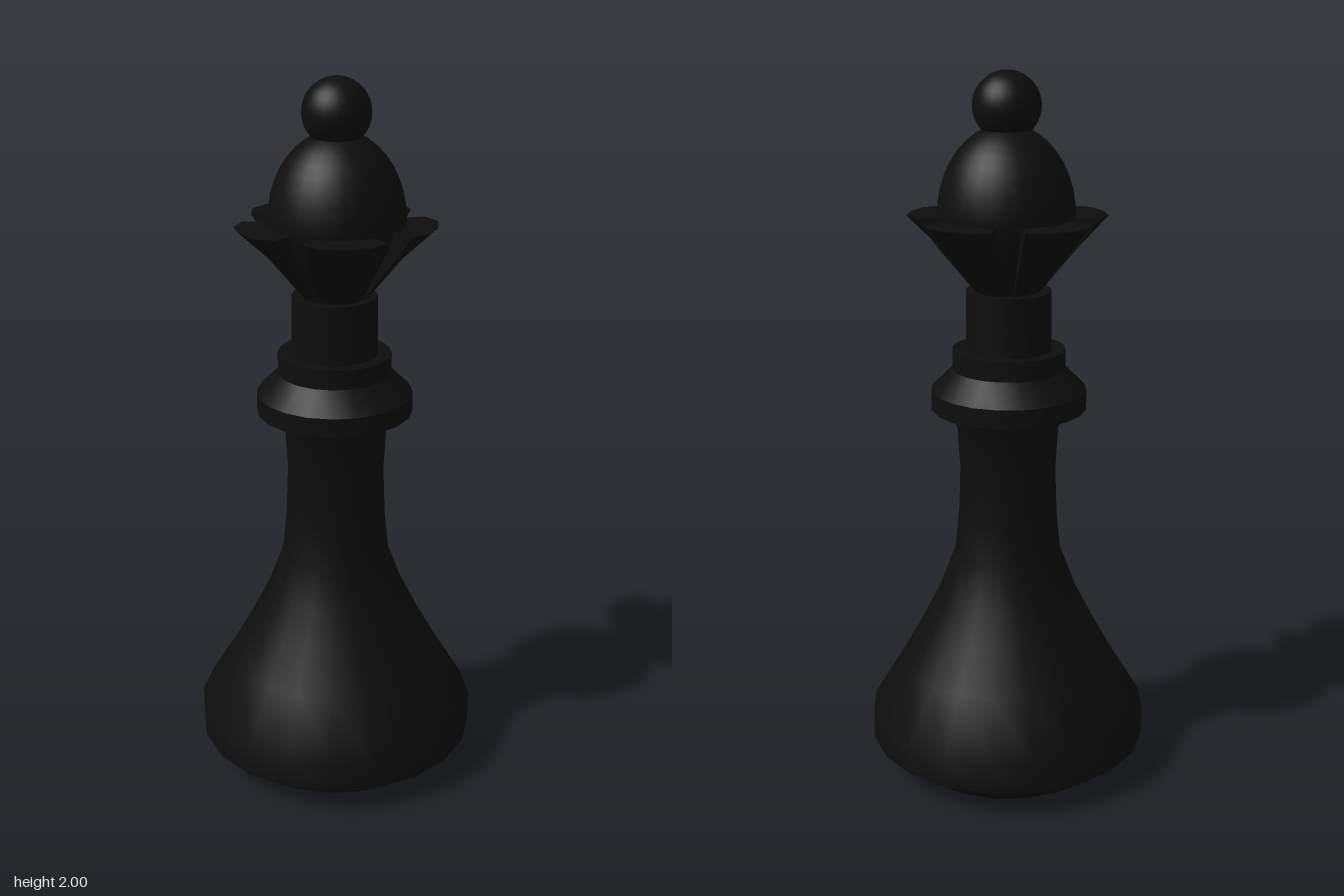
import * as THREE from 'three';
import { toCreasedNormals } from 'three/addons/utils/BufferGeometryUtils.js';

const black = new THREE.MeshStandardMaterial({ color: 0x0d0d0d });
black.name = 'black';

function add(group, name, geometry, x = 0, y = 0, z = 0) {
  const mesh = new THREE.Mesh(geometry, black);
  mesh.name = name;
  mesh.position.set(x, y, z);
  group.add(mesh);
  return mesh;
}

// Turned part from [radius, height] pairs, listed bottom to top
function turned(profile, sides) {
  const points = profile.map(([r, y]) => new THREE.Vector2(r, y));
  return toCreasedNormals(new THREE.LatheGeometry(points, sides), 0.7);
}

// One crown petal: a quad section swept round the axis, with its tip corners cut off
function petalGeometry() {
  const sweep = [[-26, 0.25], [-14, 0.276], [0, 0.278], [14, 0.276], [26, 0.25]];
  const positions = [];
  const index = [];
  for (const [degrees, tip] of sweep) {
    const a = THREE.MathUtils.degToRad(degrees);
    const section = [[0.088, 1.405], [0.19, 1.53], [tip, 1.612], [0.185, 1.612], [0.06, 1.43]];
    for (const [r, y] of section) positions.push(r * Math.cos(a), y, r * Math.sin(a));
  }
  const n = 5;
  for (let i = 0; i < sweep.length - 1; i++) {
    for (let j = 0; j < n; j++) {
      const a = i * n + j, b = i * n + (j + 1) % n;
      index.push(a, b, a + n, b, b + n, a + n);
    }
  }
  // Side faces
  const last = (sweep.length - 1) * n;
  for (let j = 1; j < n - 1; j++) {
    index.push(0, j + 1, j, last, last + j, last + j + 1);
  }
  const geometry = new THREE.BufferGeometry();
  geometry.setAttribute('position', new THREE.Float32BufferAttribute(positions, 3));
  geometry.setIndex(index);
  return toCreasedNormals(geometry, 0.5);
}

export function createModel() {
  const group = new THREE.Group();
  group.name = 'chessQueen';

  // Flared base and slender shaft
  add(group, 'body', turned([
    [0, 0], [0.3, 0], [0.4, 0.075], [0.4, 0.16], [0.31, 0.31], [0.25, 0.42], [0.2, 0.52],
    [0.153, 0.645], [0.141, 0.76], [0.136, 0.9], [0.143, 1.02], [0.168, 1.08],
  ], 20));

  // Stepped collar
  add(group, 'collar', turned([
    [0, 1.076], [0.218, 1.076], [0.218, 1.13], [0.158, 1.19], [0.158, 1.245], [0, 1.245],
  ], 20), -0.003);

  // Neck
  add(group, 'neck', turned([[0, 1.23], [0.12, 1.23], [0.118, 1.41], [0, 1.41]], 20), -0.003);

  // Egg-shaped head
  const headProfile = [[0, 1.4], [0.08, 1.4], [0.135, 1.5], [0.178, 1.57]];
  for (let i = 0; i <= 10; i++) {
    const t = (i / 10) * Math.PI / 2;
    headProfile.push([Math.max(0, 0.188 * Math.cos(t)), 1.615 + 0.245 * Math.sin(t)]);
  }
  add(group, 'head', turned(headProfile, 28), 0.004);

  // Five crown petals
  const petal = petalGeometry();
  for (let i = 0; i < 5; i++) {
    const mesh = add(group, 'crownPetal', petal);
    mesh.rotation.y = THREE.MathUtils.degToRad(8 - 72 * i);
  }

  // Ball finial
  add(group, 'finial', new THREE.SphereGeometry(0.093, 28, 18), 0.004, 1.907, 0.003);

  return group;
}
